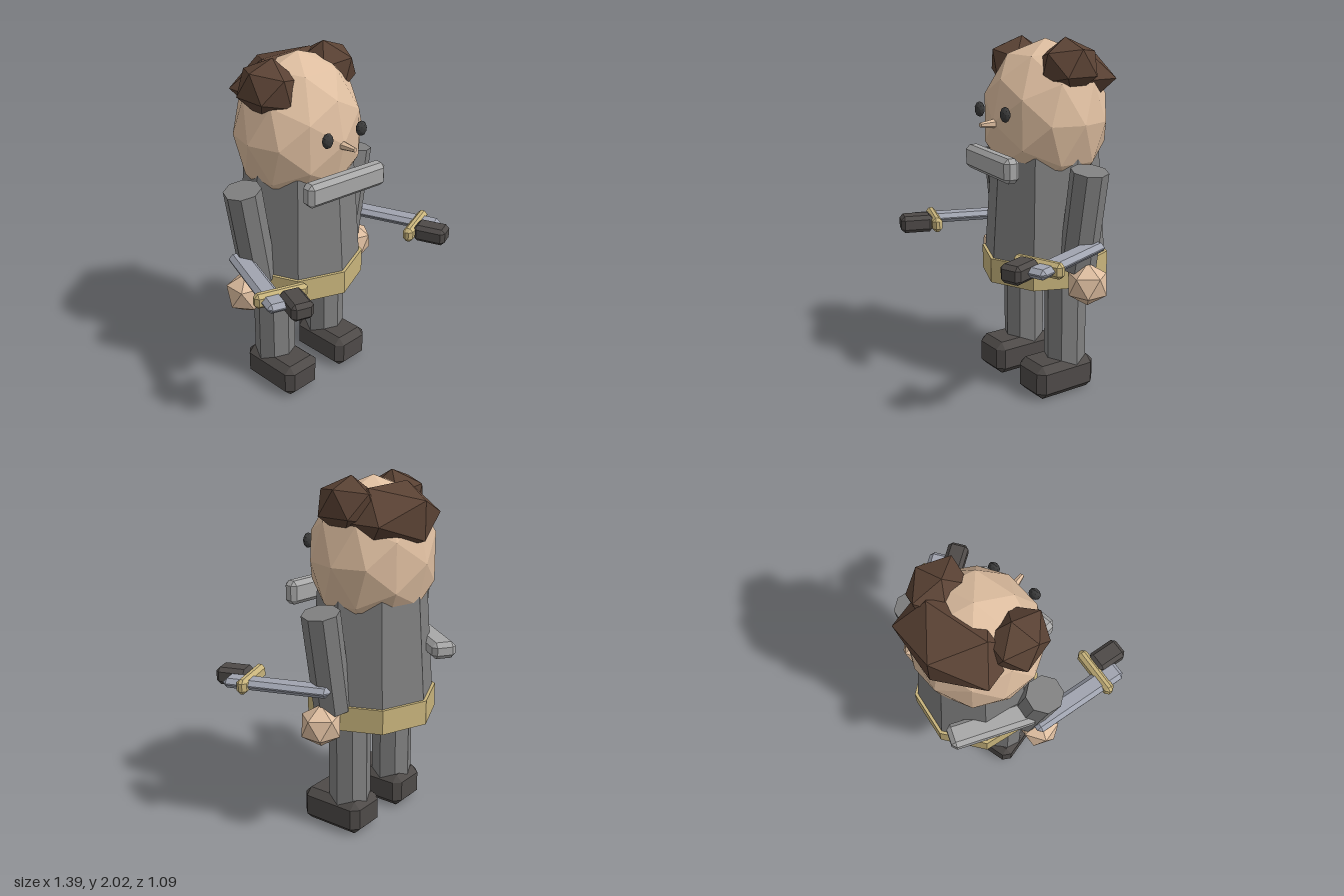
import * as THREE from 'three';
import { ConvexGeometry } from 'three/addons/geometries/ConvexGeometry.js';

const COLORS = {
  skin: 0xdebea0, hair: 0x5a4234, armour: 0x808080, plate: 0xa8a8a8,
  belt: 0xc8b47c, dark: 0x4e4a48, blade: 0xa0a4b0, eye: 0x3a3a3a,
};
const materials = {};
for (const key in COLORS) {
  materials[key] = new THREE.MeshStandardMaterial({ color: COLORS[key], flatShading: true });
}

// Box with every edge and corner cut by a flat chamfer
function chamferBox(w, h, d, c) {
  const points = [];
  for (const i of [-1, 1]) for (const j of [-1, 1]) for (const k of [-1, 1]) {
    const x = w / 2, y = h / 2, z = d / 2;
    points.push(
      new THREE.Vector3(i * x, j * (y - c), k * (z - c)),
      new THREE.Vector3(i * (x - c), j * y, k * (z - c)),
      new THREE.Vector3(i * (x - c), j * (y - c), k * z));
  }
  return new ConvexGeometry(points);
}

const cylinder = (top, bottom, height, sides = 8) =>
  new THREE.CylinderGeometry(top, bottom, height, sides);

const ball = (x, y, z, detail = 0) =>
  new THREE.IcosahedronGeometry(1, detail).scale(x, y, z);

export function createModel() {
  const model = new THREE.Group();
  model.name = 'knight';

  function add(name, geometry, color, position, rotation = [0, 0, 0]) {
    const mesh = new THREE.Mesh(geometry, materials[color]);
    mesh.name = name;
    mesh.position.set(...position);
    mesh.rotation.set(...rotation);
    model.add(mesh);
    return mesh;
  }

  // Torso and belt
  add('torso', cylinder(0.31, 0.355, 0.64), 'armour', [0, 1.06, -0.108]);
  add('belt', cylinder(0.37, 0.37, 0.14), 'belt', [0, 0.72, -0.108]);

  // Chest bar, and the bar strapped across one side of the back
  add('collarPlate', chamferBox(0.53, 0.135, 0.09, 0.025), 'plate', [0, 1.338, 0.25], [0, -0.12, 0]);
  add('backBar', chamferBox(0.14, 0.095, 0.5, 0.025), 'plate', [-0.26, 1.055, -0.32], [0, -0.63, 0]);

  // Head, face and hair
  add('head', ball(0.372, 0.44, 0.35, 1), 'skin', [0, 1.56, -0.11]);
  add('nose', cylinder(0.013, 0.03, 0.12, 6), 'skin', [0, 1.555, 0.26], [Math.PI / 2, 0, 0]);
  add('backHair', ball(0.34, 0.2, 0.28), 'hair', [0.02, 1.79, -0.22]);
  add('leftHairTuft', ball(0.16, 0.16, 0.185), 'hair', [0.22, 1.86, -0.105], [0, 0, -0.35]);
  add('rightHairTuft', ball(0.16, 0.16, 0.185), 'hair', [-0.24, 1.85, -0.09], [0, 0, 0.3]);

  // Paired parts: left is +x
  for (const s of [1, -1]) {
    const side = s > 0 ? 'left' : 'right';
    add(side + 'Eye', ball(0.034, 0.043, 0.026, 1), 'eye', [s * 0.128, 1.62, 0.243]);
    add(side + 'Leg', cylinder(0.12, 0.12, 0.56), 'armour', [s * 0.21, 0.44, -0.106]);
    add(side + 'Boot', chamferBox(0.25, 0.2, 0.395, 0.04), 'dark', [s * 0.21, 0.1, -0.045]);
    add(side + 'Arm', cylinder(0.105, 0.105, 0.57), 'armour', [s * 0.388, 1.05, -0.09], [0, 0, -s * 0.17]);
    add(side + 'Hand', ball(0.122, 0.122, 0.122), 'skin', [s * 0.44, 0.695, -0.085], [0, 0, -0.55]);

    // Sword lying level, grip to the front
    const yaw = [0, s * 0.35, 0];
    add(side + 'SwordBlade', chamferBox(0.12, 0.055, 0.61, 0.024), 'blade', [s * 0.54, 0.905, 0.132], yaw);
    add(side + 'SwordGuard', chamferBox(0.3, 0.085, 0.06, 0.02), 'belt', [s * 0.547, 0.905, 0.32], yaw);
    add(side + 'SwordGrip', chamferBox(0.125, 0.1, 0.19, 0.022), 'dark', [s * 0.548, 0.905, 0.44], yaw);
  }

  return model;
}
